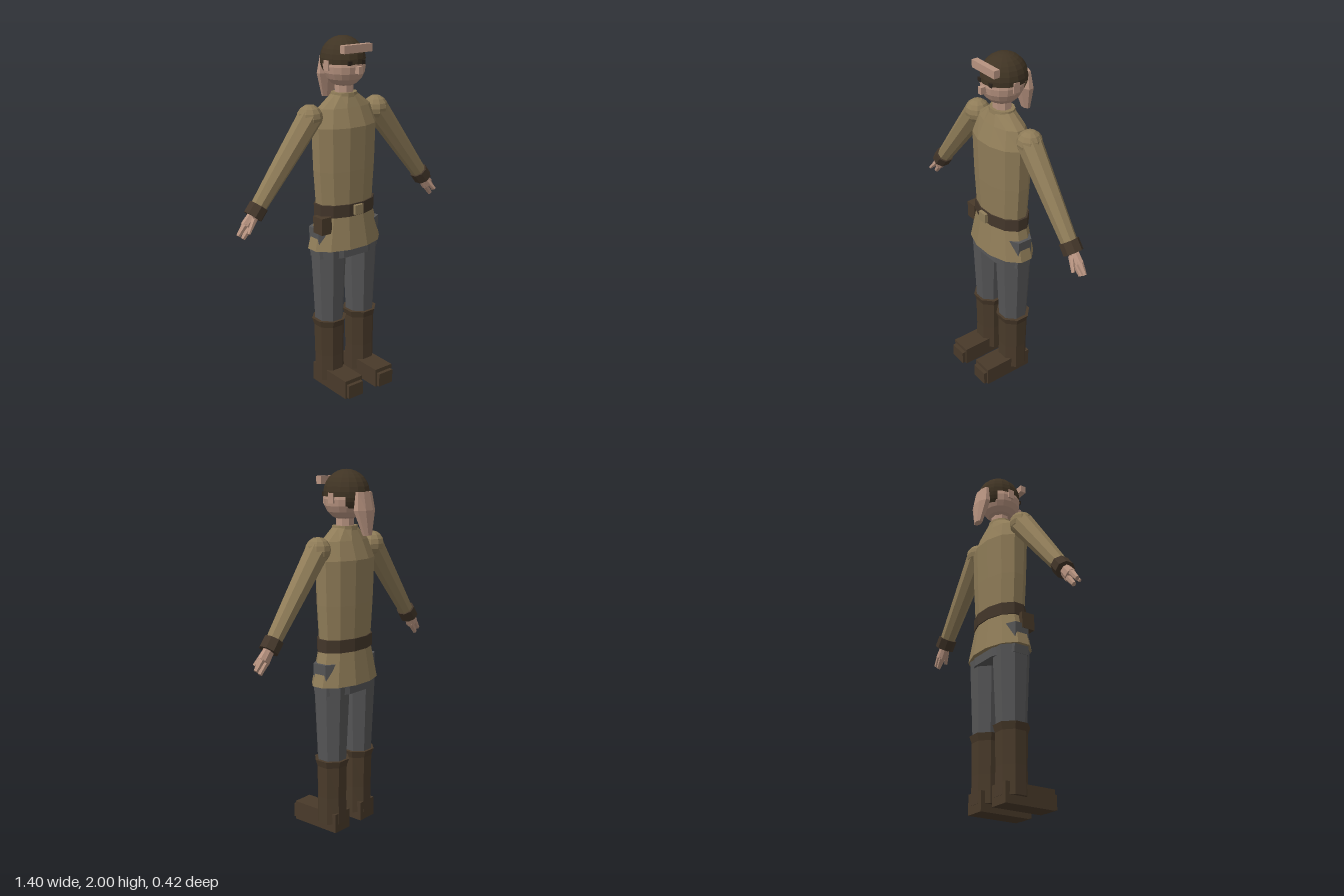
import * as THREE from 'three';

const mat = (name, color) => new THREE.MeshStandardMaterial({ name, color, flatShading: true });

// Closed loft of elliptical rings [y, halfWidth, halfDepth, z], listed bottom to top, with flats facing the axes
function loft(rings, sides) {
  const k = 1 / Math.cos(Math.PI / sides);
  const first = rings[0], last = rings[rings.length - 1];
  const all = [[first[0], 0, 0, first[3]], ...rings, [last[0], 0, 0, last[3]]];
  const geo = new THREE.LatheGeometry(all.map(r => new THREE.Vector2(r[1] * k, r[0])), sides, Math.PI / sides);
  const p = geo.attributes.position;
  for (let i = 0; i < p.count; i++) {
    const [, w, d, z = 0] = all[i % all.length];
    p.setZ(i, (w ? p.getZ(i) * d / w : 0) + z);
  }
  geo.computeVertexNormals();
  return geo;
}

export function createModel() {
  const model = new THREE.Group();
  model.name = 'figure';

  const cloth = mat('tan cloth', 0x8f7c58);
  const trousers = mat('grey trousers', 0x555556);
  const skin = mat('skin', 0xb79380);
  const leather = mat('boot leather', 0x493a2a);
  const beltMat = mat('dark belt', 0x43362a);
  const hairMat = mat('dark hair', 0x403424);
  hairMat.side = THREE.DoubleSide;
  const metal = mat('buckle', 0x8f7d5a);
  const dark = mat('eye', 0x2c241c);

  const add = (name, geo, material, x = 0, y = 0, z = 0, parent = model) => {
    const m = new THREE.Mesh(geo, material);
    m.name = name;
    m.position.set(x, y, z);
    parent.add(m);
    return m;
  };
  const box = (w, h, d) => new THREE.BoxGeometry(w, h, d);
  const Z = -0.037;

  // Tunic
  add('tunicBody', loft([
    [1.05, 0.172, 0.105, Z], [1.29, 0.188, 0.115, Z], [1.53, 0.196, 0.122, Z],
    [1.63, 0.16, 0.085, Z], [1.695, 0.075, 0.06, Z],
  ], 12), cloth);
  add('collar', loft([[1.66, 0.08, 0.068, Z], [1.705, 0.073, 0.062, Z]], 12), cloth);
  add('tunicSkirt', loft([[0.85, 0.228, 0.132, Z], [1.05, 0.178, 0.105, Z]], 12), cloth);

  // Belt, buckle and pouch
  add('belt', loft([[1.035, 0.188, 0.113, Z], [1.105, 0.188, 0.113, Z]], 12), beltMat);
  add('buckle', box(0.056, 0.054, 0.02), metal, 0, 1.073, 0.09);
  add('pouch', box(0.066, 0.095, 0.08), leather, -0.182, 0.998, 0.003);

  // Hips
  add('hips', loft([[0.8, 0.205, 0.108, Z], [0.975, 0.214, 0.103, Z]], 8), trousers);

  // Head
  add('neck', loft([[1.68, 0.05, 0.046, Z], [1.76, 0.048, 0.046, Z]], 8), skin);
  const face = add('face', new THREE.SphereGeometry(0.115, 16, 10), skin, 0, 1.845, -0.036);
  face.scale.z = 1.01;
  add('nose', box(0.027, 0.038, 0.04), skin, 0, 1.832, 0.086);
  const hair = new THREE.Group();
  hair.name = 'hair';
  hair.position.set(0, 1.877, -0.047);
  hair.scale.set(0.97, 1, 1.03);
  model.add(hair);
  add('hairCap', new THREE.SphereGeometry(0.123, 16, 8, 0, Math.PI * 2, 0, Math.PI * 0.545), hairMat, 0, 0, 0, hair);
  add('hairBack', new THREE.SphereGeometry(0.123, 10, 4, Math.PI * 1.2, Math.PI * 0.6, Math.PI * 0.5, Math.PI * 0.22), hairMat, 0, 0, 0, hair);
  add('browBand', box(0.186, 0.042, 0.035), skin, 0, 1.942, 0.067);
  add('headTail', loft([
    [1.66, 0.03, 0.018, -0.19], [1.79, 0.072, 0.034, -0.17], [1.885, 0.058, 0.02, -0.165],
  ], 8), skin);

  for (const s of [-1, 1]) {
    add('eye', box(0.024, 0.022, 0.009), dark, s * 0.045, 1.868, 0.07);
    add('ear', box(0.016, 0.055, 0.036), skin, s * 0.112, 1.852, -0.038);

    // Arm hangs along its own -y axis, then swings outward
    const arm = new THREE.Group();
    arm.name = s > 0 ? 'leftArm' : 'rightArm';
    arm.position.set(s * 0.225, 1.59, -0.04);
    arm.rotation.z = s * 0.671;
    model.add(arm);
    add('shoulder', new THREE.SphereGeometry(0.07, 10, 8), cloth, s * 0.225, 1.59, -0.042);
    add('sleeve', loft([[-0.56, 0.04, 0.04], [-0.3, 0.052, 0.05], [0, 0.064, 0.062]], 8), cloth, 0, 0, 0, arm);
    add('cuff', loft([[-0.6, 0.048, 0.052], [-0.535, 0.048, 0.052]], 8), beltMat, 0, 0, 0, arm);
    add('palm', loft([[-0.66, 0.036, 0.024], [-0.59, 0.03, 0.024]], 8), skin, 0, 0, 0, arm);
    for (const f of [-1, 1])
      add('finger', loft([[-0.725, 0.012, 0.01], [-0.65, 0.016, 0.018]], 6), skin, f * 0.017, 0, 0, arm);
    const thumb = add('thumb', loft([[-0.085, 0.008, 0.008], [0, 0.014, 0.013]], 6), skin, 0, -0.61, 0.022, arm);
    thumb.rotation.x = -0.3;

    // Leg, boot and shoe
    const leg = new THREE.Group();
    leg.name = s > 0 ? 'leftLeg' : 'rightLeg';
    leg.position.set(s * 0.111, 0, Z);
    model.add(leg);
    add('trouserLeg', loft([[0.38, 0.074, 0.076], [0.86, 0.094, 0.096]], 8), trousers, 0, 0, 0, leg);
    add('boot', loft([
      [0.045, 0.081, 0.08], [0.2, 0.079, 0.077], [0.38, 0.082, 0.08], [0.42, 0.094, 0.092],
    ], 8), leather, 0, 0, 0, leg);
    add('shoe', box(0.12, 0.11, 0.305), leather, 0, 0.055, 0.0745, leg);
    add('toeCap', box(0.1, 0.08, 0.025), leather, 0, 0.047, 0.2355, leg);
  }
  return model;
}
